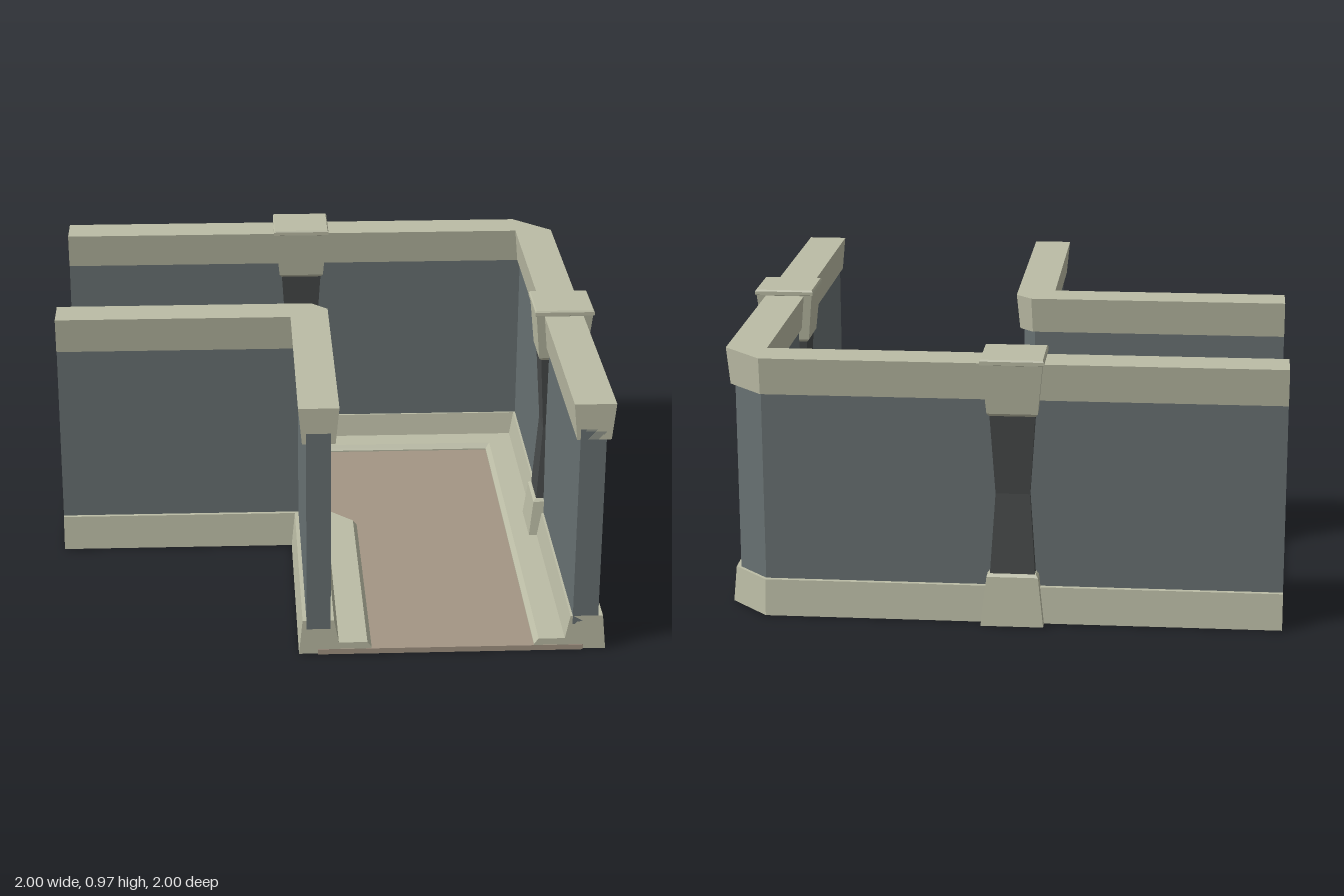
import * as THREE from 'three';

const material = (color) => new THREE.MeshStandardMaterial({ color, flatShading: true });

// Sweeps a counter-clockwise profile of [offset, height] round the L-shaped bend.
// chamfer(offset) gives how far the corner is cut back at that offset.
function sweepBend(profile, chamfer, end) {
  const n = profile.length;
  const stations = [[], [], [], []];
  for (const [s, y] of profile) {
    const k = chamfer(s);
    stations[0].push(new THREE.Vector3(-end, y, -s));
    stations[1].push(new THREE.Vector3(s - k, y, -s));
    stations[2].push(new THREE.Vector3(s, y, k - s));
    stations[3].push(new THREE.Vector3(s, y, end));
  }
  const pos = [];
  const tri = (a, b, c) => {
    const area = b.clone().sub(a).cross(c.clone().sub(a)).length();
    if (area > 1e-9) for (const p of [a, b, c]) pos.push(p.x, p.y, p.z);
  };
  for (let j = 0; j < 3; j++) {
    for (let i = 0; i < n; i++) {
      const m = (i + 1) % n;
      const p = stations[j], q = stations[j + 1];
      tri(p[i], p[m], q[m]);
      tri(p[i], q[m], q[i]);
    }
  }
  // end caps
  const outline = profile.map(([s, y]) => new THREE.Vector2(s, y));
  for (const [a, b, c] of THREE.ShapeUtils.triangulateShape(outline, [])) {
    tri(stations[3][a], stations[3][b], stations[3][c]);
    tri(stations[0][a], stations[0][c], stations[0][b]);
  }
  const geometry = new THREE.BufferGeometry();
  geometry.setAttribute('position', new THREE.Float32BufferAttribute(pos, 3));
  geometry.computeVertexNormals();
  return geometry;
}

// Square stacked block from [half width, height] pairs
function squareStack(rings) {
  const points = [[0, rings[0][1]], ...rings, [0, rings[rings.length - 1][1]]]
    .map(([h, y]) => new THREE.Vector2(h * Math.SQRT2, y));
  const geometry = new THREE.LatheGeometry(points, 4, Math.PI / 4).toNonIndexed();
  geometry.computeVertexNormals();
  return geometry;
}

export function createModel() {
  const model = new THREE.Group();
  model.name = 'corridorCorner';
  const trim = material(0xbbbca5);
  const panel = material(0x687172);
  const dark = material(0x484b4b);
  const tan = material(0xa39584);

  const add = (parent, name, geometry, mat) => {
    const mesh = new THREE.Mesh(geometry, mat);
    mesh.name = name;
    parent.add(mesh);
    return mesh;
  };

  // Floor slab
  add(model, 'floor', sweepBend([[-0.06, 0], [0.88, 0], [0.88, 0.02], [-0.06, 0.02]], () => 0, 1), tan);

  // Outer and inner walls, each with a stepped base, a panel and a top rail
  const walls = [
    {
      name: 'outerWall',
      chamfer: (s) => (s > 0.87 ? s - 0.82 : 0),
      base: [[0.706, 0.003], [0.96, 0.003], [0.947, 0.133], [0.832, 0.133],
        [0.815, 0.045], [0.722, 0.045], [0.706, 0.025]],
      panel: [[0.84, 0.1], [0.93, 0.1], [0.93, 0.85], [0.84, 0.85]],
      rail: [[0.828, 0.812], [0.947, 0.812], [0.96, 0.943], [0.815, 0.943]],
    },
    {
      name: 'innerWall',
      chamfer: (s) => (s > -0.06 ? 0.06 + (s - 0.014) * 0.6 : 0),
      base: [[-0.127, 0.003], [0.13, 0.003], [0.13, 0.025], [0.115, 0.045],
        [0.014, 0.045], [-0.003, 0.133], [-0.114, 0.133]],
      panel: [[-0.1, 0.1], [-0.015, 0.1], [-0.015, 0.85], [-0.1, 0.85]],
      rail: [[-0.114, 0.812], [0.001, 0.812], [0.014, 0.943], [-0.127, 0.943]],
    },
  ];
  for (const w of walls) {
    const wall = new THREE.Group();
    wall.name = w.name;
    add(wall, 'wallBase', sweepBend(w.base, w.chamfer, 0.998), trim);
    add(wall, 'wallPanel', sweepBend(w.panel, w.chamfer, 0.998), panel);
    add(wall, 'topRail', sweepBend(w.rail, w.chamfer, 0.998), trim);
    model.add(wall);
  }

  // Waisted pillars straddling the outer wall
  const foot = squareStack([[0.11, 0.003], [0.09, 0.178], [0.082, 0.188]]);
  const shaft = squareStack([[0.08, 0.17], [0.06, 0.475], [0.08, 0.78]]);
  const capital = squareStack([[0.08, 0.76], [0.088, 0.77], [0.105, 0.945],
    [0.11, 0.947], [0.11, 0.96], [0.106, 0.966]]);
  for (const [name, x, z] of [['backPillar', -0.057, -0.89], ['leftPillar', 0.89, 0.057]]) {
    const pillar = new THREE.Group();
    pillar.name = name;
    pillar.position.set(x, 0, z);
    add(pillar, 'pillarFoot', foot, trim);
    add(pillar, 'pillarShaft', shaft, dark);
    add(pillar, 'pillarCapital', capital, trim);
    model.add(pillar);
  }
  return model;
}
